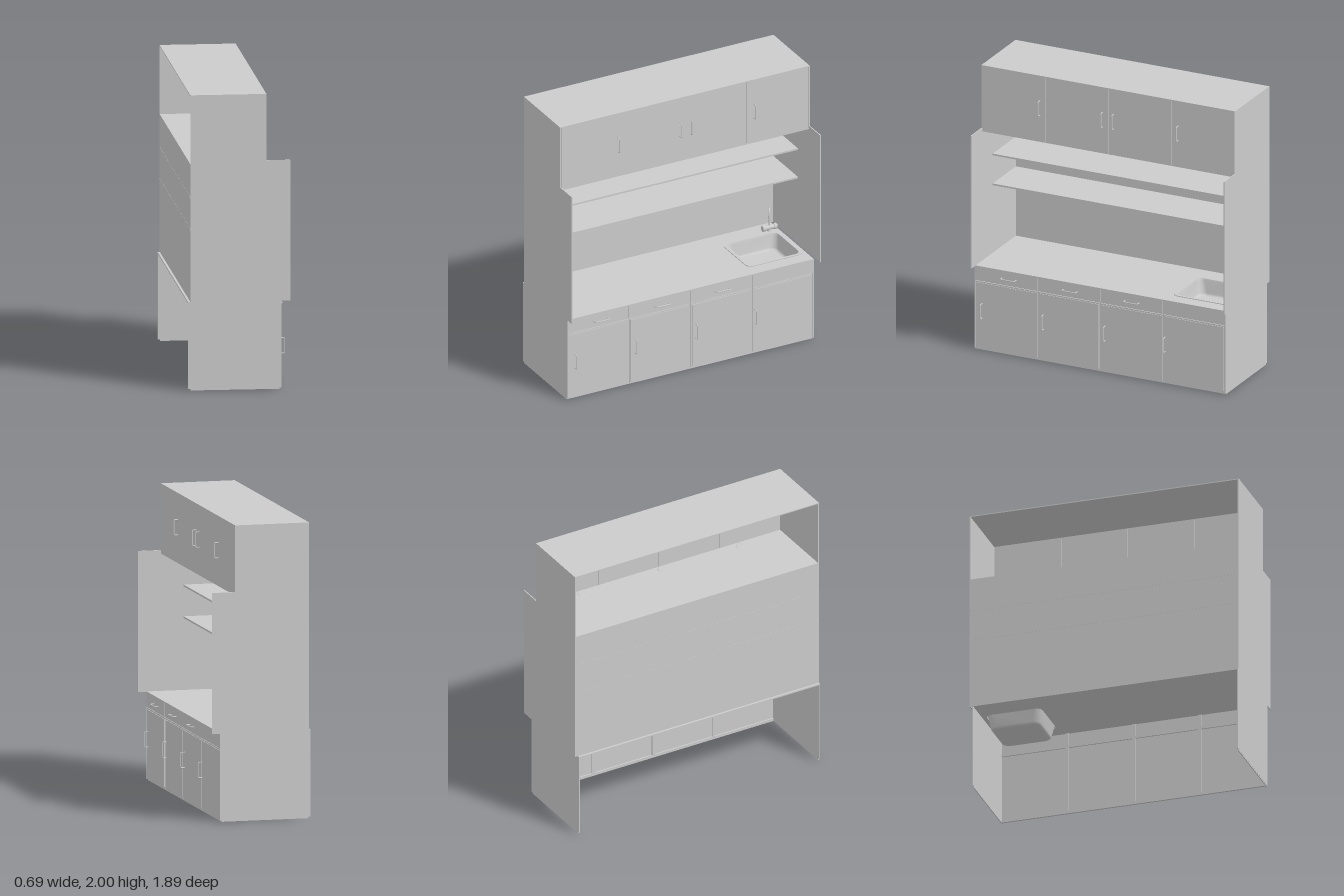
import * as THREE from 'three';

const mat = new THREE.MeshStandardMaterial({ color: 0xcccccc });
const thinMat = new THREE.MeshStandardMaterial({ color: 0xcccccc, side: THREE.DoubleSide });

function add(parent, name, geometry, material = mat) {
  const mesh = new THREE.Mesh(geometry, material);
  mesh.name = name;
  parent.add(mesh);
  return mesh;
}

// Box given by its limits on each axis
function box(parent, name, x0, x1, y0, y1, z0, z1) {
  const g = new THREE.BoxGeometry(x1 - x0, y1 - y0, z1 - z0);
  g.translate((x0 + x1) / 2, (y0 + y1) / 2, (z0 + z1) / 2);
  return add(parent, name, g);
}

function group(parent, name) {
  const g = new THREE.Group();
  g.name = name;
  parent.add(g);
  return g;
}

// Bow handle on a face at x, along y or along z
function handle(parent, name, x, y, z, alongZ) {
  const h = 0.052, out = 0.028, b = 0.009;
  const path = new THREE.CurvePath();
  const p = [[0, -h], [out - b, -h], [out, -h + b], [out, h - b], [out - b, h], [0, h]]
    .map(([u, v]) => new THREE.Vector3(u, v, 0));
  path.add(new THREE.LineCurve3(p[0], p[1]));
  path.add(new THREE.QuadraticBezierCurve3(p[1], new THREE.Vector3(out, -h, 0), p[2]));
  path.add(new THREE.LineCurve3(p[2], p[3]));
  path.add(new THREE.QuadraticBezierCurve3(p[3], new THREE.Vector3(out, h, 0), p[4]));
  path.add(new THREE.LineCurve3(p[4], p[5]));
  const mesh = add(parent, name, new THREE.TubeGeometry(path, 40, 0.004, 8));
  mesh.position.set(x, y, z);
  if (alongZ) mesh.rotation.x = Math.PI / 2;
}

// Rounded rectangle in plan; shape y is -z
function roundedRect(Type, cx, cz, w, d, r) {
  const s = new Type();
  const x = w / 2 - r, y = d / 2 - r, q = Math.PI / 2;
  [[x, y], [-x, y], [-x, -y], [x, -y]].forEach(([a, b], i) =>
    s.absarc(cx + a, -cz + b, r, i * q, (i + 1) * q, false));
  s.closePath();
  return s;
}

// Horizontal slab from a plan shape
function slab(shape, y0, y1) {
  const g = new THREE.ExtrudeGeometry(shape, { depth: y1 - y0, bevelEnabled: false, curveSegments: 8 });
  g.rotateX(-Math.PI / 2);
  return g.translate(0, y0, 0);
}

// Bowl lofted from rounded rectangles [width, depth, radius, y]
function bowl(cx, cz, sections) {
  const pos = [], index = [], n = 36;
  for (const [w, d, r, y] of sections) {
    for (let i = 0; i < n; i++) {
      const c = Math.floor(i / 9), a = (c + (i % 9) / 8) * Math.PI / 2;
      const sx = c === 0 || c === 3 ? 1 : -1, sz = c < 2 ? 1 : -1;
      pos.push(cx + sx * (w / 2 - r) + r * Math.cos(a), y, cz + sz * (d / 2 - r) + r * Math.sin(a));
    }
  }
  for (let s = 0; s < sections.length - 1; s++) {
    for (let i = 0; i < n; i++) {
      const a = s * n + i, b = s * n + (i + 1) % n;
      index.push(a, b, a + n, b, b + n, a + n);
    }
  }
  const last = (sections.length - 1) * n;
  pos.push(cx, sections.at(-1)[3], cz);
  for (let i = 0; i < n; i++) index.push(last + i, last + (i + 1) % n, last + n);
  const g = new THREE.BufferGeometry();
  g.setAttribute('position', new THREE.Float32BufferAttribute(pos, 3));
  g.setIndex(index);
  g.computeVertexNormals();
  return g;
}

export function createModel() {
  const model = new THREE.Group();
  model.name = 'kitchenUnit';
  const Z = 0.945, zEnd = -0.922, t = 0.007;

  // Base cabinet: open back and bottom
  const base = group(model, 'baseCabinet');
  box(base, 'baseSide', -0.345, 0.28, 0.01, 0.59, Z - t, Z);
  box(base, 'baseSide', -0.345, 0.28, 0.01, 0.59, zEnd, zEnd + t);
  box(base, 'sideFoot', -0.33, 0.268, 0, 0.01, Z - t, Z - 0.001);
  box(base, 'sideFoot', -0.33, 0.268, 0, 0.01, zEnd + 0.001, zEnd + t);
  box(base, 'frontPlinth', 0.255, 0.268, 0, 0.02, zEnd + t, Z - t);
  box(base, 'frontRail', 0.255, 0.268, 0.484, 0.502, zEnd + t, Z - t);
  const pitch = (Z - zEnd) / 4;
  for (let i = 1; i < 4; i++) {
    const z = Z - i * pitch;
    box(base, 'frontStile', 0.255, 0.268, 0.01, 0.59, z - 0.012, z + 0.012);
  }

  // Doors with a raised field, and drawer fronts above
  for (let i = 0; i < 4; i++) {
    const z1 = Z - i * pitch, z0 = z1 - pitch;
    box(base, 'baseDoor', 0.264, 0.276, 0.012, 0.491, z0 + 0.006, z1 - 0.006);
    box(base, 'baseDoorField', 0.27, 0.28, 0.022, 0.481, z0 + 0.014, z1 - 0.014);
    handle(base, 'doorHandle', 0.28, 0.283, [0.89, 0.432, -0.027, -0.474][i], false);
    box(base, 'drawerFront', 0.264, 0.28, 0.496, 0.59, z0 + 0.002, z1 - 0.002);
    if (i < 3) handle(base, 'drawerHandle', 0.28, 0.544, 0.69 - i * 0.458, true);
  }

  // Worktop with a cut-out for the sink
  const sx = -0.005, sz = -0.69;
  const top = new THREE.Shape();
  top.moveTo(-0.345, -Z);
  top.lineTo(0.28, -Z);
  top.lineTo(0.28, -zEnd);
  top.lineTo(-0.345, -zEnd);
  top.closePath();
  top.holes.push(roundedRect(THREE.Path, sx, sz, 0.35, 0.39, 0.04));
  add(model, 'worktop', slab(top, 0.59, 0.6));

  // Sink
  const sink = group(model, 'sink');
  const rim = roundedRect(THREE.Shape, sx, sz, 0.38, 0.43, 0.045);
  rim.holes.push(roundedRect(THREE.Path, sx, sz, 0.345, 0.385, 0.04));
  add(sink, 'sinkRim', slab(rim, 0.6, 0.605));
  add(sink, 'sinkBowl', bowl(sx, sz, [
    [0.345, 0.385, 0.04, 0.605], [0.335, 0.375, 0.04, 0.59], [0.31, 0.35, 0.05, 0.51],
    [0.295, 0.335, 0.05, 0.499], [0.27, 0.31, 0.05, 0.494],
  ]), thinMat);
  const drain = add(sink, 'drain', new THREE.CylinderGeometry(0.022, 0.022, 0.004, 24));
  drain.position.set(sx, 0.496, sz);

  // Tap: cross body, post and hooked spout
  const tap = group(model, 'tap');
  tap.position.set(-0.225, 0.6, -0.857);
  const body = add(tap, 'tapBody', new THREE.CylinderGeometry(0.016, 0.016, 0.085, 20));
  body.rotation.x = Math.PI / 2;
  body.position.y = 0.024;
  for (const s of [-1, 1]) {
    const knob = add(tap, 'tapKnob', new THREE.CylinderGeometry(0.02, 0.02, 0.02, 20));
    knob.rotation.x = Math.PI / 2;
    knob.position.set(0, 0.024, s * 0.043);
  }
  add(tap, 'tapFoot', new THREE.CylinderGeometry(0.014, 0.018, 0.02, 20)).position.y = 0.01;
  const spout = new THREE.CatmullRomCurve3([
    [0, 0.02, 0], [0, 0.09, 0], [0, 0.15, 0], [0.012, 0.175, 0.007],
    [0.032, 0.184, 0.018], [0.05, 0.172, 0.028], [0.057, 0.15, 0.032], [0.058, 0.132, 0.033],
  ].map(p => new THREE.Vector3(...p)));
  add(tap, 'tapSpout', new THREE.TubeGeometry(spout, 40, 0.006, 10), thinMat);

  // Back panel, side screens and shelves
  const niche = group(model, 'niche');
  box(niche, 'backPanel', -0.33, -0.323, 0.6, 1.53, -Z + t, Z - t);
  for (const s of [-1, 1]) {
    const a = s * Z, b = s * (Z - t);
    box(niche, 'sideScreen', -0.33, 0.34, 0.598, 1.55, Math.min(a, b), Math.max(a, b));
  }
  for (const y of [1.085, 1.299]) box(niche, 'shelf', -0.331, 0.025, y, y + 0.012, -Z, Z);

  // Wall cabinet: open back
  const wall = group(model, 'wallCabinet');
  box(wall, 'wallTop', -0.33, 0.18, 1.993, 2, -Z, Z);
  box(wall, 'wallBottom', -0.33, 0.18, 1.526, 1.533, -Z + t, Z - t);
  box(wall, 'wallSide', -0.33, 0.18, 1.53, 1.993, Z - t, Z);
  box(wall, 'wallSide', -0.33, 0.18, 1.53, 1.993, -Z, -Z + t);
  const w = (2 * (Z - t)) / 4;
  [0.51, 0.042, -0.04, -0.52].forEach((hz, i) => {
    const z1 = Z - t - i * w;
    box(wall, 'wallDoor', 0.17, 0.18, 1.533, 1.993, z1 - w + 0.0015, z1 - 0.0015);
    handle(wall, 'wallHandle', 0.18, 1.768, hz, false);
  });

  // Downlights let into the wall cabinet bottom
  for (const z of [0.605, 0, -0.62]) {
    const lamp = group(wall, 'downlight');
    lamp.position.set(0.13, 1.53, z);
    const ring = add(lamp, 'downlightRing', new THREE.TorusGeometry(0.024, 0.006, 8, 28));
    ring.rotation.x = Math.PI / 2;
    add(lamp, 'downlightLens', new THREE.CylinderGeometry(0.022, 0.022, 0.01, 28));
  }
  return model;
}
